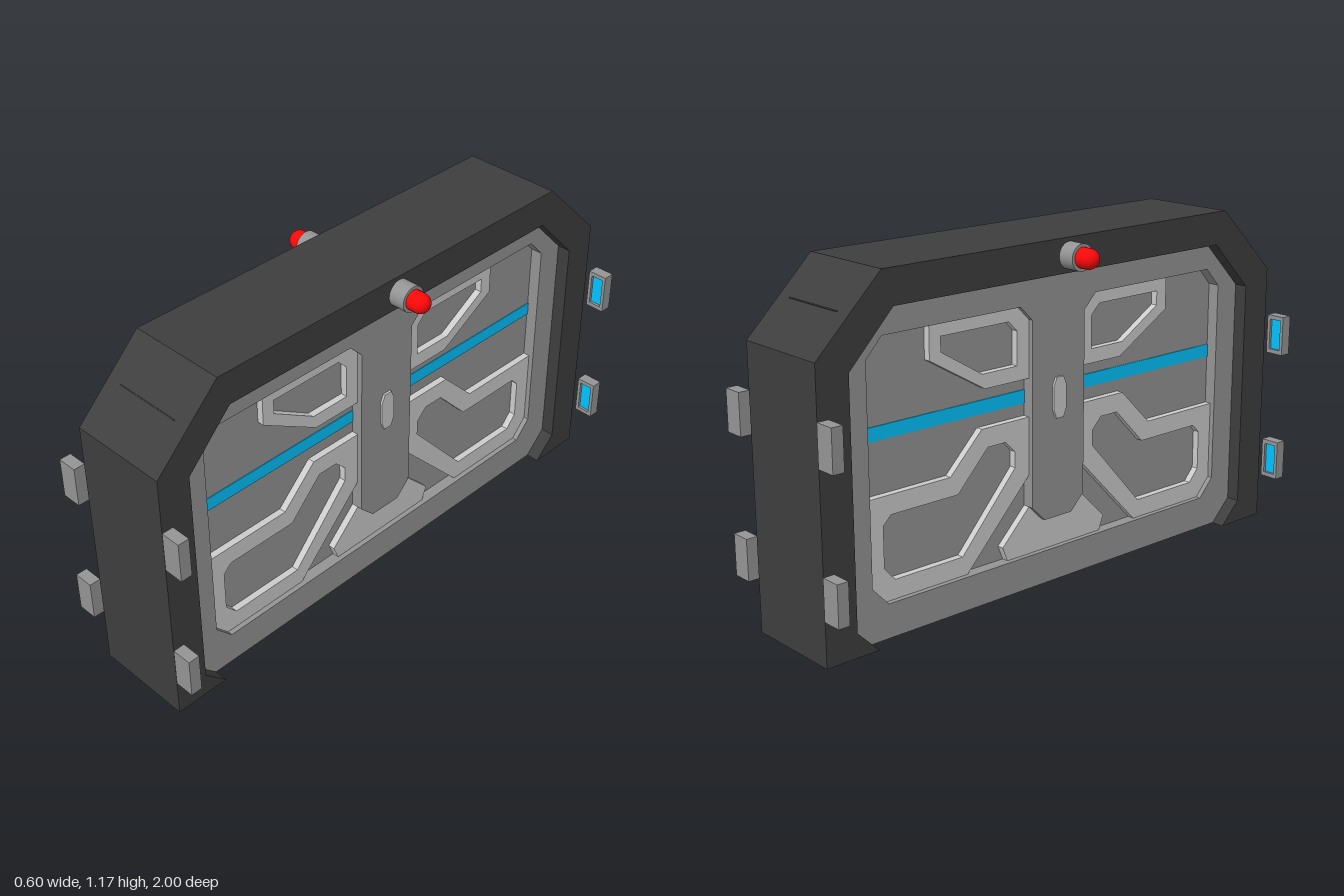
import * as THREE from 'three';

const mat = (color) => new THREE.MeshStandardMaterial({ color, flatShading: true });
const dark = mat(0x3e3e3e), mid = mat(0x949494), light = mat(0xcccccc), blue = mat(0x00c3ff);
dark.side = THREE.DoubleSide;
const red = new THREE.MeshStandardMaterial({ color: 0xff0808 });
const steel = new THREE.MeshStandardMaterial({ color: 0x949494 });

const toPoints = (list) => list.map(([a, b]) => new THREE.Vector2(a, b));
// Completes a half outline given on the +z side by mirroring it to -z
const flip = (list) => list.map(([z, y]) => [-z, y]);
const symmetric = (half) => [...half, ...flip(half).reverse()];

function add(parent, name, geometry, material, x = 0, y = 0, z = 0) {
  const mesh = new THREE.Mesh(geometry, material);
  mesh.name = name;
  mesh.position.set(x, y, z);
  parent.add(mesh);
  return mesh;
}

// Extrudes a (z, y) outline through the wall, from -halfDepth to +halfDepth in x
function slab(parent, name, outline, halfDepth, material, hole) {
  const points = toPoints(outline);
  if (THREE.ShapeUtils.isClockWise(points)) points.reverse();
  const shape = new THREE.Shape(points);
  if (hole) shape.holes.push(new THREE.Path(toPoints(hole)));
  const geometry = new THREE.ExtrudeGeometry(shape, { depth: 2 * halfDepth, bevelEnabled: false });
  geometry.translate(0, 0, -halfDepth).rotateY(-Math.PI / 2);
  return add(parent, name, geometry, material);
}

// Drops the faces that lie on the floor, leaving the underside open
function openBottom(geometry) {
  const source = geometry.attributes.position.array, kept = [];
  for (let i = 0; i < source.length; i += 9) {
    if (Math.max(source[i + 1], source[i + 4], source[i + 7]) > 1e-4) kept.push(...source.slice(i, i + 9));
  }
  const result = new THREE.BufferGeometry();
  result.setAttribute('position', new THREE.Float32BufferAttribute(kept, 3));
  result.computeVertexNormals();
  return result;
}

export function createModel() {
  const model = new THREE.Group();
  model.name = 'slidingDoor';

  // Heavy hollow outer frame, with feet flaring inward
  const opening = [[0.785, 0], [0.865, 0.08], [0.865, 0.89], [0.7, 1.06]];
  const outside = [[0.98, 0], [0.98, 0.94], [0.74, 1.175]];
  const frame = slab(model, 'frame',
    [...symmetric(outside), ...flip(opening), ...[...opening].reverse()], 0.176, dark);
  frame.geometry = openBottom(frame.geometry);

  // Door plate with a centre column reaching down into its recess, and the panel behind
  const corners = [[0.71, 0.965], [0.77, 0.9], [0.77, 0.18], [0.71, 0.115]];
  const column = [[0.06, 0.225], [0.115, 0.28], [0.115, 0.915], [0.165, 0.965]];
  slab(model, 'doorPlate', symmetric(opening), 0.128, mid, symmetric([...column, ...corners]));
  slab(model, 'doorPanel', symmetric(corners), 0.086, mid);
  slab(model, 'centreHandle',
    symmetric([[0.015, 0.57], [0.028, 0.6], [0.028, 0.68], [0.015, 0.71]]), 0.136, light);
  slab(model, 'bottomRib',
    symmetric([[0.21, 0.115], [0.23, 0.165], [0.115, 0.28], [0.06, 0.225]]), 0.11, light);

  // Raised ribs and light strips on both halves
  const upperOuter = [[0.52, 0.965], [0.165, 0.965], [0.115, 0.915], [0.115, 0.72], [0.3, 0.72], [0.52, 0.85]];
  const upperInner = [[0.475, 0.92], [0.2, 0.92], [0.165, 0.885], [0.165, 0.77], [0.31, 0.77], [0.475, 0.87]];
  const lowerOuter = [[0.77, 0.46], [0.445, 0.46], [0.315, 0.59], [0.115, 0.59],
    [0.115, 0.39], [0.38, 0.115], [0.71, 0.115], [0.77, 0.18]];
  const lowerInner = [[0.71, 0.365], [0.68, 0.395], [0.415, 0.395], [0.29, 0.525], [0.215, 0.525],
    [0.175, 0.485], [0.175, 0.43], [0.4, 0.18], [0.67, 0.18], [0.71, 0.225]];
  const strip = [[0.115, 0.632], [0.77, 0.632], [0.77, 0.678], [0.115, 0.678]];
  for (const [side, place] of [['front', (p) => p], ['back', flip]]) {
    slab(model, side + 'UpperRib', place(upperOuter), 0.11, light, place(upperInner));
    slab(model, side + 'LowerRib', place(lowerOuter), 0.11, light, place(lowerInner));
    slab(model, side + 'LightStrip', place(strip), 0.089, blue);
  }

  // Thin seam across each sloped shoulder
  for (const s of [1, -1]) {
    const seam = add(model, 'shoulderSeam', new THREE.BoxGeometry(0.24, 0.004, 0.004), dark, 0, 1.06, s * 0.859);
    seam.rotation.x = s * Math.PI / 4;
  }

  // Warning lamps on both faces, pointing outward along x
  for (const s of [1, -1]) {
    const lamp = new THREE.Group();
    lamp.name = 'warningLamp';
    lamp.position.set(s * 0.175, 1.117, 0);
    lamp.rotation.z = -s * Math.PI / 2;
    add(lamp, 'lampBase', new THREE.CylinderGeometry(0.045, 0.045, 0.06, 24), steel, 0, 0.03, 0);
    add(lamp, 'lampStem', new THREE.CylinderGeometry(0.034, 0.034, 0.03, 24), red, 0, 0.075, 0);
    add(lamp, 'lampDome',
      new THREE.SphereGeometry(0.034, 24, 10, 0, Math.PI * 2, 0, Math.PI / 2), red, 0, 0.089, 0);
    model.add(lamp);
  }

  // Sensor boxes beside the frame ends, lit on the side facing the door
  const rect = (w, h) => toPoints([[-w, -h], [w, -h], [w, h], [-w, h]]);
  const rim = new THREE.Shape(rect(0.035, 0.07));
  rim.holes.push(new THREE.Path(rect(0.023, 0.055)));
  const rimGeometry = new THREE.ExtrudeGeometry(rim, { depth: 0.015, bevelEnabled: false });
  for (const x of [0.239, -0.239]) for (const y of [0.237, 0.707]) for (const s of [1, -1]) {
    const sensor = new THREE.Group();
    sensor.name = 'sensorBox';
    sensor.position.set(x, y, s * 0.98);
    sensor.rotation.y = s > 0 ? Math.PI : 0;
    add(sensor, 'sensorBody', new THREE.BoxGeometry(0.07, 0.14, 0.025), mid, 0, 0, -0.0075);
    add(sensor, 'sensorRim', rimGeometry, mid, 0, 0, 0.005);
    add(sensor, 'sensorLight', new THREE.BoxGeometry(0.046, 0.11, 0.006), blue, 0, 0, 0.007);
    model.add(sensor);
  }
  return model;
}
